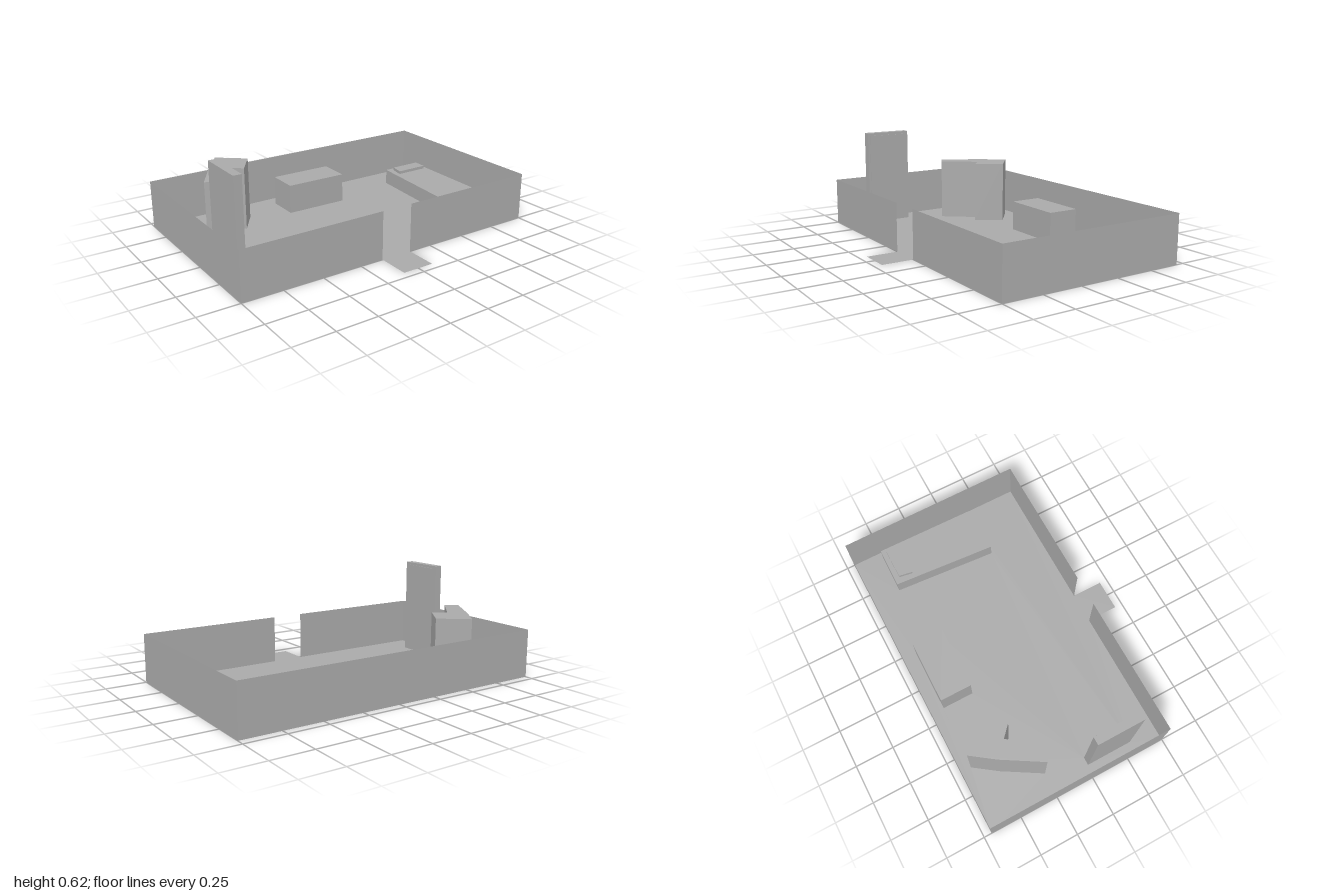
import * as THREE from 'three';
import { mergeGeometries } from 'three/addons/utils/BufferGeometryUtils.js';

const grey = new THREE.MeshStandardMaterial({ color: 0xaaaaaa, side: THREE.DoubleSide });
grey.name = 'plain grey';

// Outlines are lists of [x, z] points on the floor plan.
const toVectors = (points) => points.map(([x, z]) => new THREE.Vector2(x, z));

// Flat horizontal sheet at height y, with optional holes
function sheet(points, y, holes = []) {
  const shape = new THREE.Shape(toVectors(points));
  shape.holes = holes.map((hole) => new THREE.Path(toVectors(hole)));
  // Mirror z, then lay flat, so that the sheet faces up
  const flipped = new THREE.ShapeGeometry(shape).rotateX(Math.PI / 2).toNonIndexed();
  const p = flipped.attributes.position;
  for (let i = 0; i < p.count; i += 3) {
    const [x, z] = [p.getX(i), p.getZ(i)];
    p.setXYZ(i, p.getX(i + 1), 0, p.getZ(i + 1));
    p.setXYZ(i + 1, x, 0, z);
  }
  flipped.deleteAttribute('uv');
  flipped.translate(0, y, 0).computeVertexNormals();
  return flipped;
}

// Upright sheets following a path, from y0 to y1
function fence(points, y0, y1) {
  const position = [];
  for (let i = 0; i < points.length - 1; i++) {
    const [ax, az] = points[i];
    const [bx, bz] = points[i + 1];
    position.push(ax, y0, az, bx, y0, bz, bx, y1, bz, ax, y0, az, bx, y1, bz, ax, y1, az);
  }
  const geometry = new THREE.BufferGeometry();
  geometry.setAttribute('position', new THREE.Float32BufferAttribute(position, 3));
  geometry.computeVertexNormals();
  return geometry;
}

// Hollow block, open underneath
function block(points, y0, y1) {
  return mergeGeometries([fence([...points, points[0]], y0, y1), sheet(points, y1)]);
}

export function createModel() {
  const model = new THREE.Group();
  model.name = 'room';
  const add = (name, geometry) => {
    const mesh = new THREE.Mesh(geometry, grey);
    mesh.name = name;
    model.add(mesh);
    return mesh;
  };

  // Furniture outlines, anticlockwise seen from above
  const bed = [[0.64, 0.16], [0.95, 0.155], [0.96, -0.505], [0.69, -0.51]];
  const pillow = [[0.715, -0.385], [0.935, -0.385], [0.935, -0.475], [0.73, -0.475]];
  const chest = [[-0.175, -0.405], [0.23, -0.4], [0.23, -0.605], [-0.175, -0.61]];
  const desk = [[-0.765, -0.2], [-0.605, -0.4], [-0.535, -0.335], [-0.427, -0.495],
    [-0.59, -0.63], [-0.695, -0.485], [-0.84, -0.245]];
  const cabinet = [[-0.92, 0.315], [-0.87, 0.315], [-0.87, 0.015], [-0.92, 0.015]];

  // Floor with doorstep, open beneath each piece of furniture
  const floor = [[-1, 0.5], [-0.1, 0.5], [-0.1, 0.7], [0.1, 0.7], [0.1, 0.5], [1, 0.5],
    [1, -0.7], [-1, -0.7]];
  add('floor', sheet(floor, 0, [bed, chest, desk, cabinet]));

  // Thin walls with a doorway at the front
  add('walls', fence([[0.1, 0.5], [1, 0.5], [1, -0.7], [-1, -0.7], [-1, 0.5], [-0.1, 0.5]], 0, 0.3));

  add('bed', block(bed, 0, 0.1));
  add('pillow', block(pillow, 0.1, 0.12));
  add('chest', block(chest, 0, 0.19));
  add('cornerDesk', block(desk, 0, 0.4));
  add('cabinet', block(cabinet, 0, 0.62));

  // Thin door panel on the cabinet
  add('cabinetDoor', new THREE.BoxGeometry(0.004, 0.585, 0.265)).position.set(-0.868, 0.31, 0.168);

  return model;
}
